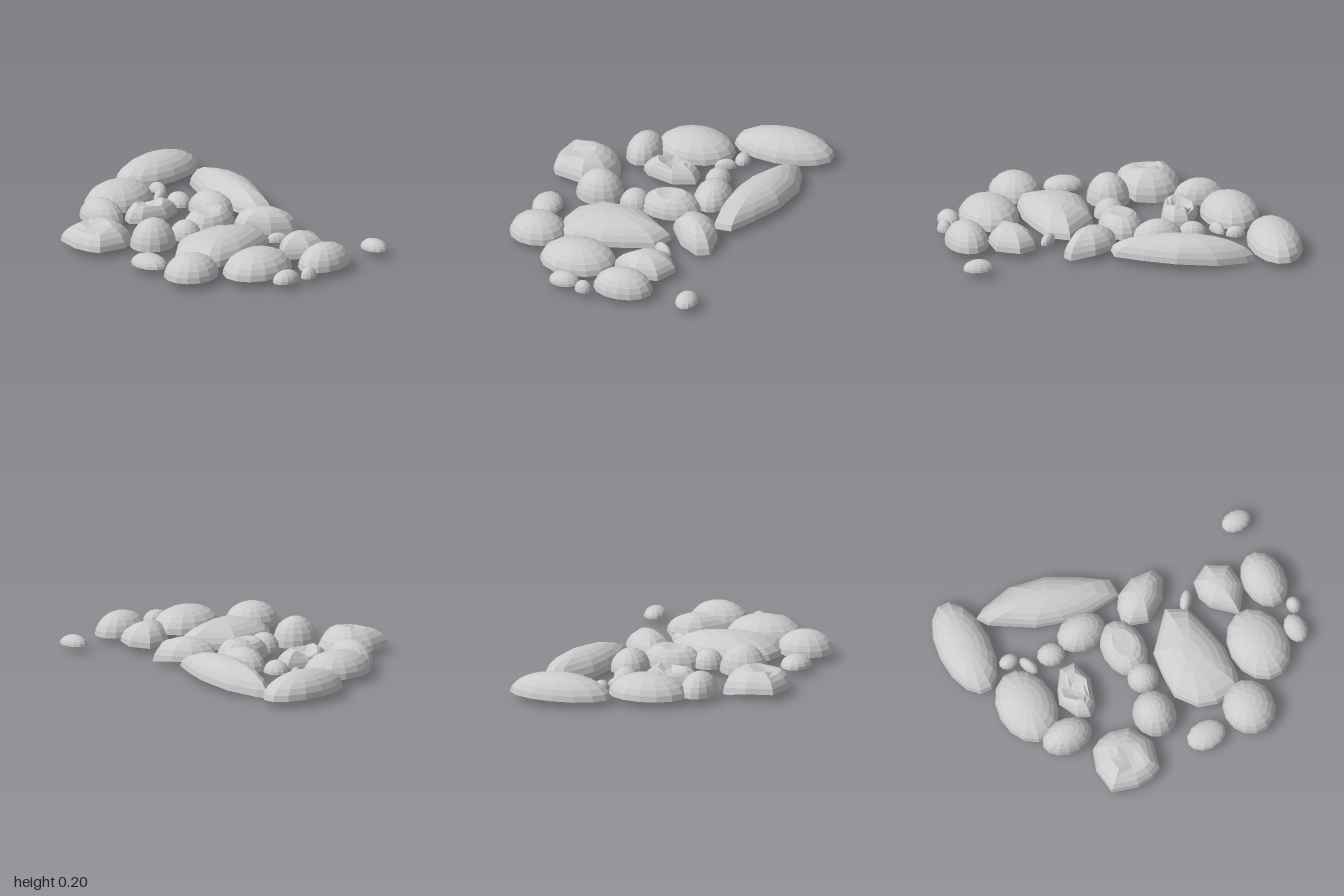
import * as THREE from 'three';

const material = new THREE.MeshStandardMaterial({
  color: 0xcccccc, flatShading: true, side: THREE.DoubleSide,
});
const BASE = 0.04;
const RINGS = 6;

// Outline of a rounded stone: ellipse with half sizes rx, rz, turned by rot
function ellipse(cx, cz, rx, rz, rot = 0, sides = 14) {
  const c = Math.cos(rot), s = Math.sin(rot);
  return Array.from({ length: sides }, (_, i) => {
    const a = (i / sides) * Math.PI * 2;
    const x = rx * Math.cos(a), z = rz * Math.sin(a);
    return [cx + x * c - z * s, cz + x * s + z * c];
  });
}

// Hollow dome rising from an outline. dip lowers one side of the rim,
// dent = [x, z, radius, depth] presses a hollow into the top.
function dome(outline, height, { dip = [0, 0], dent } = {}) {
  const n = outline.length;
  const xs = outline.map((p) => p[0]), zs = outline.map((p) => p[1]);
  const cx = (Math.min(...xs) + Math.max(...xs)) / 2;
  const cz = (Math.min(...zs) + Math.max(...zs)) / 2;
  const pos = [], index = [];
  for (let k = 0; k <= RINGS; k++) {
    const phi = (k / RINGS) * Math.PI / 2;
    const r = Math.cos(phi), t = Math.sin(phi);
    for (const [ox, oz] of outline) {
      const x = cx + (ox - cx) * r, z = cz + (oz - cz) * r;
      let y = BASE + height * t;
      y -= Math.max(0, dip[0] * (x - cx) + dip[1] * (z - cz)) * (1 - t);
      if (dent) {
        const d = Math.hypot(x - dent[0], z - dent[1]) / dent[2];
        if (d < 1) y -= dent[3] * (1 - d * d);
      }
      pos.push(x, y, z);
    }
  }
  for (let k = 0; k < RINGS; k++) {
    for (let j = 0; j < n; j++) {
      const a = k * n + j, b = k * n + (j + 1) % n;
      index.push(a, a + n, b);
      if (k < RINGS - 1) index.push(b, a + n, b + n);
    }
  }
  const g = new THREE.BufferGeometry();
  g.setAttribute('position', new THREE.Float32BufferAttribute(pos, 3));
  g.setIndex(index);
  g.computeVertexNormals();
  return g;
}

export function createModel() {
  const group = new THREE.Group();
  group.name = 'steppingStones';
  const add = (name, outline, height, options) => {
    const mesh = new THREE.Mesh(dome(outline, height, options), material);
    mesh.name = name;
    group.add(mesh);
  };

  // Large and medium rounded stones: centre x, z, half sizes, height, turn
  [
    [-0.84, -0.47, 0.155, 0.30, 0.13, 0.04],
    [-0.69, 0.01, 0.17, 0.23, 0.128, 0],
    [-0.57, 0.28, 0.15, 0.105, 0.125, 0.05],
    [-0.205, -0.245, 0.147, 0.112, 0.12, 0],
    [-0.02, 0.165, 0.092, 0.09, 0.1, 0],
    [-0.065, 0.39, 0.125, 0.14, 0.16, 0],
    [0.87, -0.045, 0.125, 0.175, 0.128, 0],
    [0.66, 0.29, 0.174, 0.225, 0.13, 0],
    [0.435, 0.603, 0.15, 0.167, 0.128, 0],
  ].forEach(([x, z, rx, rz, h, rot], i) =>
    add(`roundStone${i + 1}`, ellipse(x, z, rx, rz, rot), h));

  // Small pebbles in the gaps
  [
    [-0.655, -0.28, 0.058, 0.045, 0.05, 0],
    [-0.565, -0.205, 0.034, 0.065, 0.05, -0.4],
    [-0.42, -0.205, 0.082, 0.07, 0.07, 0.3],
    [0.415, -0.14, 0.034, 0.068, 0.05, 0.65],
    [0.14, 0.64, 0.118, 0.088, 0.062, 0],
    [0.895, 0.3, 0.065, 0.09, 0.062, 0],
    [0.95, 0.17, 0.043, 0.05, 0.06, 0],
    [0.895, -0.435, 0.088, 0.065, 0.055, 0],
  ].forEach(([x, z, rx, rz, h, rot], i) =>
    add(`pebble${i + 1}`, ellipse(x, z, rx, rz, rot, 12), h));

  // Dented oval stone
  add('dentedStone', ellipse(-0.035, -0.045, 0.127, 0.177), 0.128,
    { dent: [-0.035, -0.03, 0.08, 0.03] });

  // Angular stones with uneven outlines
  add('longStone', [[-0.695, -0.61], [-0.64, -0.64], [-0.455, -0.68], [-0.225, -0.635],
    [-0.05, -0.54], [0.095, -0.445], [0.095, -0.34], [-0.085, -0.325], [-0.26, -0.345],
    [-0.42, -0.395], [-0.65, -0.54]], 0.125, { dip: [-0.09, 0] });
  add('largeStone', [[0.285, -0.15], [0.4, -0.09], [0.45, 0.08], [0.48, 0.22],
    [0.47, 0.4], [0.44, 0.48], [0.285, 0.5], [0.18, 0.47], [0.085, 0.35],
    [0.085, 0.2], [0.1, 0.06]], 0.127);
  add('slantedStone', [[0.03, -0.2], [0.045, -0.28], [0.085, -0.345], [0.195, -0.4],
    [0.34, -0.395], [0.365, -0.325], [0.3, -0.21], [0.165, -0.12], [0.06, -0.155]],
    0.122, { dip: [0.16, 0] });
  add('wedgeStone', [[0.49, -0.12], [0.505, -0.22], [0.61, -0.28], [0.735, -0.21],
    [0.75, -0.065], [0.65, 0.08], [0.52, -0.04]], 0.115, { dip: [-0.08, 0] });
  add('brokenStone', [[-0.42, -0.1], [-0.33, -0.1], [-0.29, 0.03], [-0.34, 0.19],
    [-0.395, 0.235], [-0.46, 0.205], [-0.52, 0.085], [-0.49, 0.005]], 0.115,
    { dent: [-0.41, 0.06, 0.085, 0.065] });
  add('chippedStone', [[-0.52, 0.54], [-0.475, 0.41], [-0.42, 0.375], [-0.34, 0.36],
    [-0.225, 0.39], [-0.15, 0.53], [-0.19, 0.7], [-0.25, 0.73], [-0.35, 0.74],
    [-0.5, 0.7]], 0.125, { dip: [0, -0.21], dent: [-0.33, 0.6, 0.09, 0.03] });

  return group;
}
